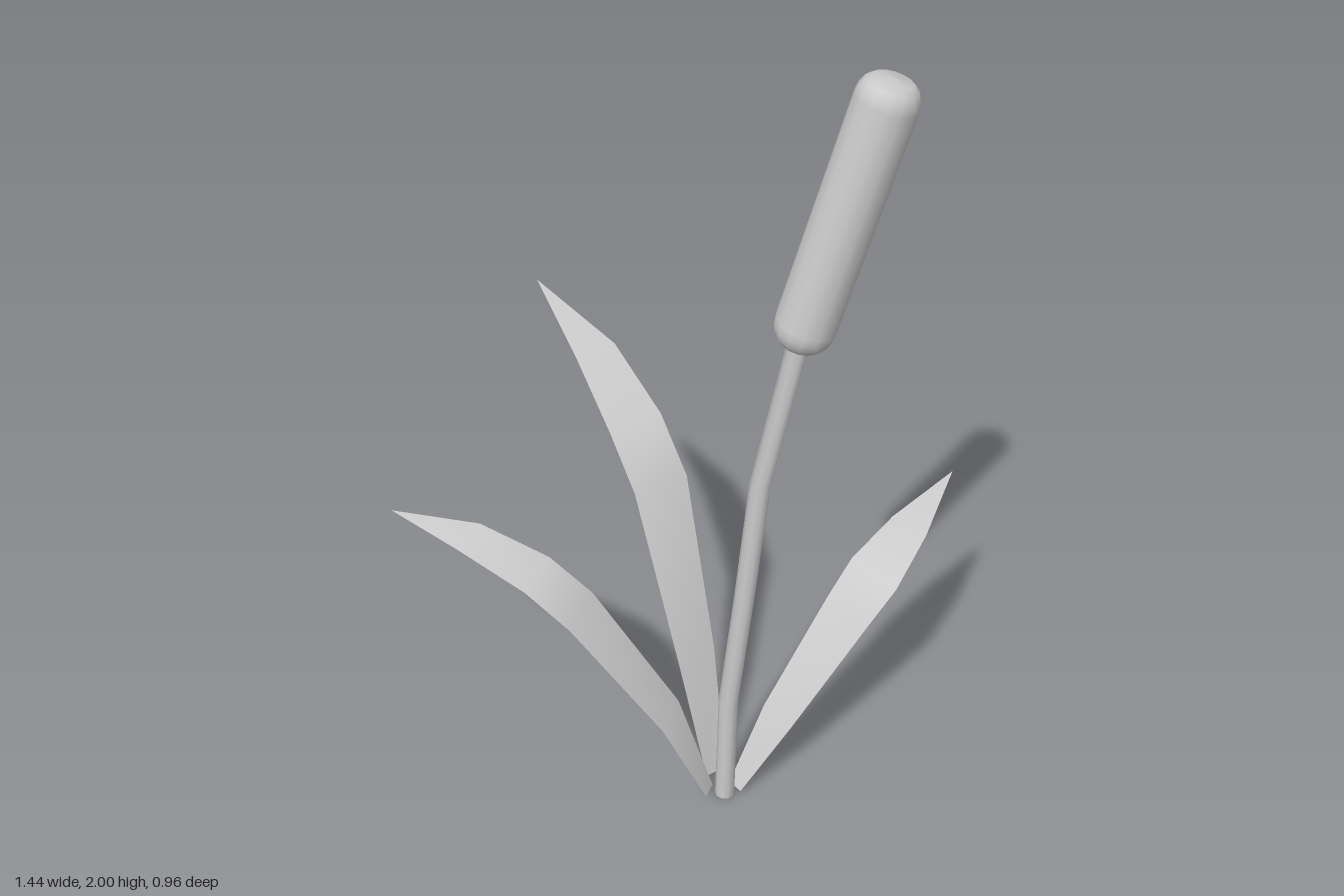
import * as THREE from 'three';

const material = new THREE.MeshStandardMaterial({ color: 0xcccccc });
const leafMaterial = new THREE.MeshStandardMaterial({ color: 0xcccccc, side: THREE.DoubleSide });

// Bent stalk: a cylinder whose rings are moved onto the path points
function stalk(path, radius) {
  const n = path.length - 1;
  const geo = new THREE.CylinderGeometry(radius, radius, 1, 10, n);
  const pos = geo.attributes.position;
  for (let i = 0; i < pos.count; i++) {
    const [x, y, z] = path[Math.round((pos.getY(i) + 0.5) * n)];
    pos.setXYZ(i, pos.getX(i) + x, y, pos.getZ(i) + z);
  }
  return new THREE.Mesh(geo, material);
}

// Leaf blade: a strip between two edges that meet in a pointed tip
function leaf(edgeA, edgeB, tip) {
  const n = edgeA.length;
  const points = [...edgeA, ...edgeB, tip];
  const index = [];
  for (let i = 0; i < n - 1; i++) {
    index.push(i, n + i, i + 1, n + i, n + i + 1, i + 1);
  }
  index.push(n - 1, 2 * n - 1, 2 * n);
  const geo = new THREE.BufferGeometry();
  geo.setAttribute('position', new THREE.Float32BufferAttribute(points.flat(), 3));
  geo.setIndex(index);
  geo.computeVertexNormals();
  return new THREE.Mesh(geo, leafMaterial);
}

// Seed head: rounded cylinder standing on the end of the stalk
function seedHead(from, to, radius) {
  const axis = to.clone().sub(from);
  const h = axis.length();
  const profile = [
    [0, 0], [0.64, 0], [0.86, 0.015], [0.97, 0.035], [1, 0.055],
    [1, h - 0.05], [0.96, h - 0.03], [0.84, h - 0.012], [0.62, h], [0, h + 0.004],
  ].map(([r, y]) => new THREE.Vector2(r * radius, y));
  const mesh = new THREE.Mesh(new THREE.LatheGeometry(profile, 14), material);
  mesh.position.copy(from);
  mesh.quaternion.setFromUnitVectors(new THREE.Vector3(0, 1, 0), axis.normalize());
  return mesh;
}

export function createModel() {
  const group = new THREE.Group();
  const add = (name, mesh) => {
    mesh.name = name;
    group.add(mesh);
  };

  add('stalk', stalk([
    [0, 0, 0.355], [0.005, 0.33, 0.356], [0.04, 0.67, 0.358],
    [0.07, 1.0, 0.36], [0.147, 1.38, 0.368],
  ], 0.025));

  add('seedHead', seedHead(
    new THREE.Vector3(0.147, 1.368, 0.366),
    new THREE.Vector3(0.308, 1.988, 0.413), 0.07));

  add('rightLeaf', leaf(
    [[-0.025, 0.01, 0.33], [-0.105, 0.3, 0.29], [-0.29, 0.62, 0.18], [-0.38, 0.71, 0.12], [-0.525, 0.775, 0.02]],
    [[-0.055, 0.01, 0.365], [-0.17, 0.28, 0.36], [-0.375, 0.6, 0.275], [-0.465, 0.69, 0.207], [-0.595, 0.76, 0.085]],
    [-0.72, 0.775, -0.1]));

  add('backLeaf', leaf(
    [[0.028, 0.01, 0.28], [0.028, 0.35, 0.18], [0, 0.81, 0.04], [-0.03, 0.93, -0.075], [-0.1, 1.055, -0.235]],
    [[-0.03, 0.01, 0.297], [-0.08, 0.35, 0.223], [-0.145, 0.81, 0.07], [-0.175, 0.93, -0.033], [-0.21, 1.055, -0.205]],
    [-0.235, 1.13, -0.48]));

  add('leftLeaf', leaf(
    [[0.037, 0.01, 0.375], [0.16, 0.225, 0.4], [0.365, 0.5, 0.382], [0.445, 0.575, 0.358], [0.568, 0.64, 0.258]],
    [[0.02, 0.01, 0.335], [0.11, 0.26, 0.335], [0.29, 0.54, 0.29], [0.365, 0.62, 0.258], [0.503, 0.67, 0.192]],
    [0.718, 0.69, 0.09]));

  return group;
}
